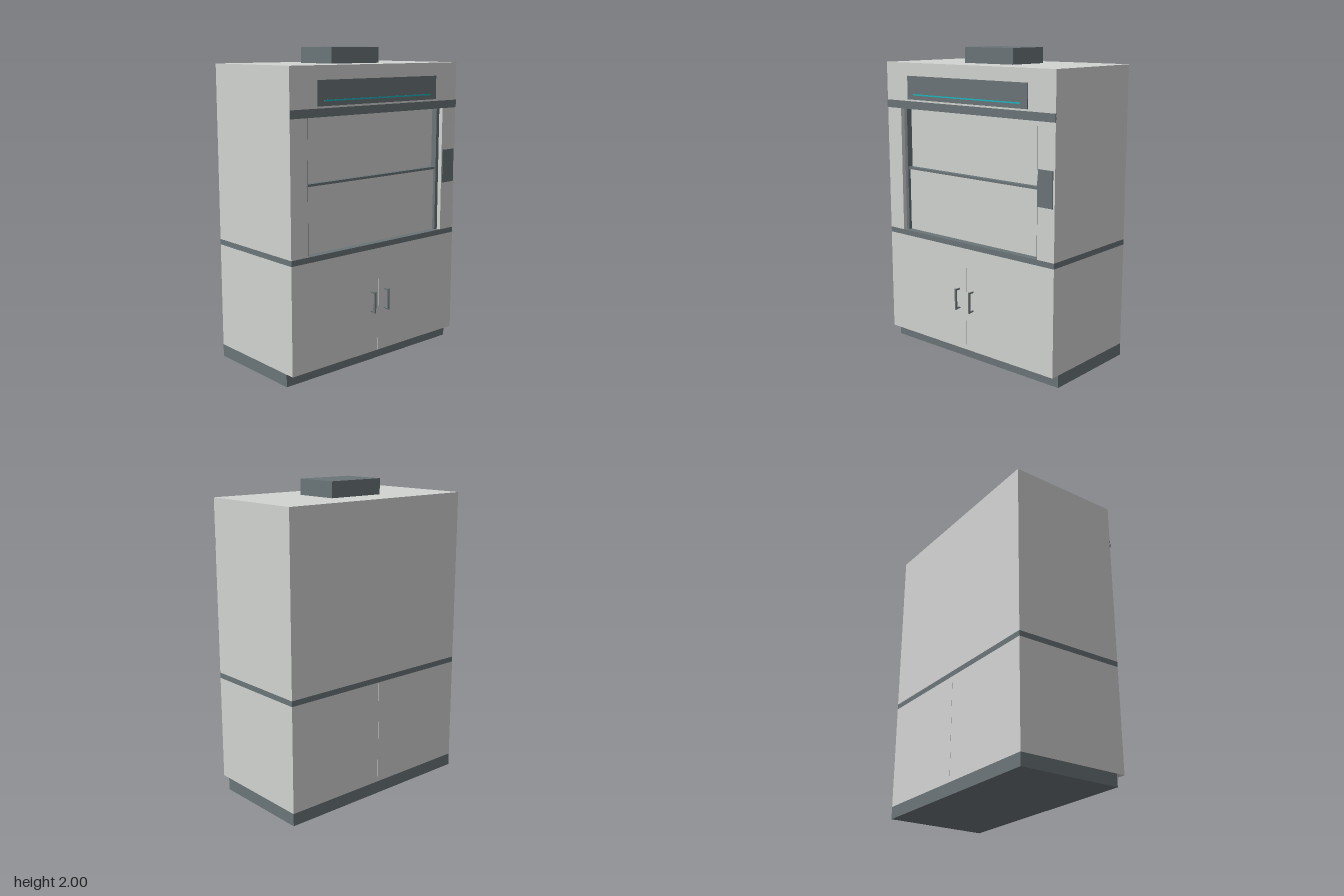
import * as THREE from 'three';

export function createModel() {
  const model = new THREE.Group();
  model.name = 'fumeCupboard';
  const mat = (name, color) => {
    const m = new THREE.MeshStandardMaterial({ color });
    m.name = name;
    return m;
  };
  const light = mat('light grey panel', 0xd2d4d2);
  const dark = mat('slate grey trim', 0x6b7578);
  const cyan = mat('cyan indicator', 0x1fb4bc);

  // Box given by its extents on each axis
  const box = (name, m, [x0, x1], [y0, y1], [z0, z1], parent = model) => {
    const mesh = new THREE.Mesh(new THREE.BoxGeometry(x1 - x0, y1 - y0, z1 - z0), m);
    mesh.name = name;
    mesh.position.set((x0 + x1) / 2, (y0 + y1) / 2, (z0 + z1) / 2);
    parent.add(mesh);
    return mesh;
  };

  const W = 0.695, B = -0.39, F = 0.348;

  // Base cabinet on a set-back plinth, with the worktop above
  box('plinth', dark, [-W, W], [0, 0.08], [B, 0.29]);
  box('rightCabinet', light, [-W, -0.001], [0.08, 0.755], [B, F]);
  box('leftCabinet', light, [0.001, W], [0.08, 0.755], [B, F]);
  box('worktop', dark, [-W, W], [0.755, 0.79], [B, F]);

  // Chamber: side pillars and sash tracks, mirrored
  for (const s of [-1, 1]) {
    const side = s < 0 ? 'right' : 'left';
    const span = (a, b) => (s < 0 ? [-b, -a] : [a, b]);
    box(side + 'Pillar', light, span(0.57, W), [0.79, 1.605], [B, F]);
    box(side + 'SashTrack', dark, span(0.545, 0.57), [0.79, 1.605], [0.27, 0.32]);
  }
  box('chamberBack', light, [-0.57, 0.57], [0.79, 1.605], [B, B + 0.02]);

  // Two sliding sashes, the lower one in front
  box('upperSash', light, [-0.555, 0.555], [1.2, 1.605], [0.272, 0.28]);
  box('lowerSash', light, [-0.555, 0.555], [0.79, 1.205], [0.29, 0.3]);
  box('sashRail', dark, [-0.555, 0.555], [1.2, 1.215], [0.275, 0.312]);

  // Header, trim band and exhaust collar
  box('header', light, [-W, W], [1.605, 1.9], [B, F]);
  box('headerBand', dark, [-W, W], [1.605, 1.655], [F - 0.003, F + 0.004]);
  box('exhaustCollar', dark, [-0.2, 0.197], [1.9, 2], [-0.17, 0.128]);

  // Display with indicator strip, and the control plate on the left pillar
  box('displayPanel', dark, [-0.497, 0.495], [1.667, 1.817], [F - 0.003, 0.355]);
  box('indicatorStrip', cyan, [-0.445, 0.443], [1.694, 1.703], [0.354, 0.357]);
  box('controlPlate', dark, [0.575, 0.682], [1.11, 1.33], [F - 0.003, 0.354]);

  // Door handles: an upright bar on two short posts
  const rod = (name, r, length, parent) => {
    const mesh = new THREE.Mesh(new THREE.CylinderGeometry(r, r, length, 16), dark);
    mesh.name = name;
    parent.add(mesh);
    return mesh;
  };
  for (const x of [-0.06, 0.056]) {
    const handle = new THREE.Group();
    handle.name = x < 0 ? 'rightHandle' : 'leftHandle';
    handle.position.set(x, 0.417, F);
    rod('handleBar', 0.008, 0.138, handle).position.z = 0.034;
    for (const y of [-0.063, 0.063]) {
      const post = rod('handlePost', 0.006, 0.036, handle);
      post.rotation.x = Math.PI / 2;
      post.position.set(0, y, 0.017);
    }
    model.add(handle);
  }

  return model;
}
